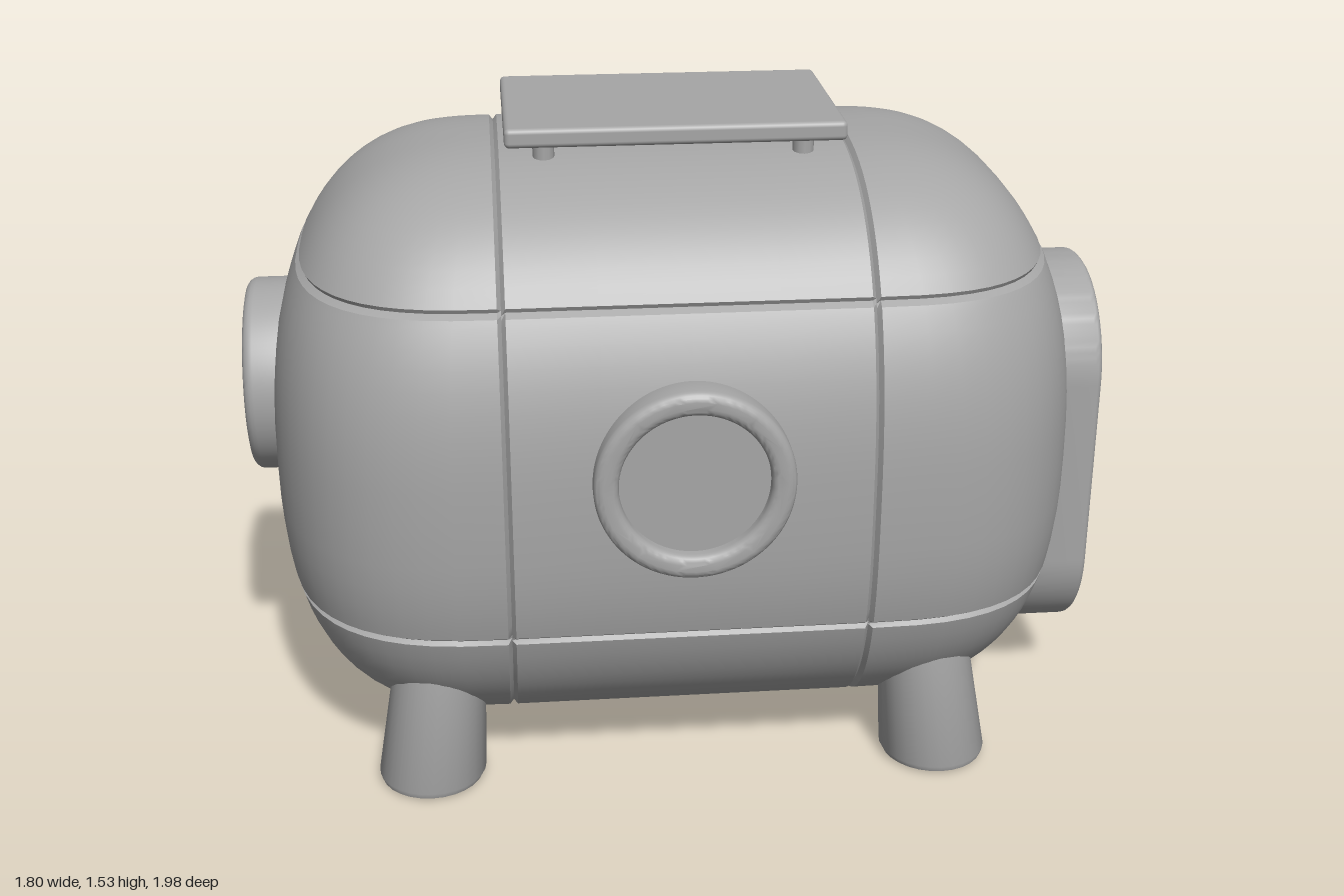
import * as THREE from 'three';
import { toCreasedNormals } from 'three/addons/utils/BufferGeometryUtils.js';
import { RoundedBoxGeometry } from 'three/addons/geometries/RoundedBoxGeometry.js';

const grey = new THREE.MeshStandardMaterial({ color: 0xa6a6a6 });
grey.name = 'plain grey';

// Hull dimensions: straight middle section plus domed ends
const HALF_W = 0.66, MID = 0.42, CAP = 0.54, CY = 0.73, UP = 0.73, DOWN = 0.67;
const spow = (v, p) => Math.sign(v) * Math.abs(v) ** p;

function add(parent, name, geometry, x = 0, y = 0, z = 0) {
  const mesh = new THREE.Mesh(geometry, grey);
  mesh.name = name;
  mesh.position.set(x, y, z);
  parent.add(mesh);
  return mesh;
}

// Hull skin: rounded outline swept from bottom to top, with pinched panel seams
function hullGeometry() {
  const outline = []; // [x, straight z, dome z, is seam]
  for (const side of [1, -1]) {
    for (let i = 0; i <= 28; i++) {
      const a = Math.PI * i / 28;
      outline.push([side * HALF_W * spow(Math.cos(a), 2 / 2.8), side * MID,
        side * CAP * Math.abs(Math.sin(a)) ** (2 / 2.8), false]);
    }
    for (const [z, seam] of [[0.411, true], [0.402, false], [0.2, false], [0, false],
      [-0.2, false], [-0.402, false], [-0.411, true]])
      outline.push([-side * HALF_W, side * z, 0, seam]);
  }
  const rows = []; // [height from -1 to 1, is seam]
  for (let i = 0; i <= 44; i++) rows.push([spow(Math.sin(Math.PI * (i / 44 - 0.5)), 2 / 2.6), false]);
  for (const y of [0.44, 1.21])
    for (const k of [-1, 0, 1]) {
      const dy = y + k * 0.01 - CY;
      rows.push([dy / (dy > 0 ? UP : DOWN), k === 0]);
    }
  rows.sort((a, b) => a[0] - b[0]);

  const pos = [], index = [], n = outline.length;
  rows.forEach(([d, rowSeam], i) => {
    const s = Math.max(0, 1 - Math.abs(d) ** 2.6) ** (1 / 2.6);
    outline.forEach(([x, z, dome, seam], j) => {
      const pinch = rowSeam || seam ? 0.98 : 1;
      pos.push(x * s * pinch, CY + d * (d > 0 ? UP : DOWN) * (seam ? 0.985 : 1), z + dome * s * pinch);
      if (i === rows.length - 1) return;
      const a = i * n + j, b = i * n + (j + 1) % n;
      index.push(a, a + n, b, b, a + n, b + n);
    });
  });
  const geo = new THREE.BufferGeometry();
  geo.setAttribute('position', new THREE.Float32BufferAttribute(pos, 3));
  geo.setIndex(index);
  return toCreasedNormals(geo, 0.5);
}

// Rounded rectangle outline, a circle when r is half the width
function roundRect(Type, w, h, r) {
  const p = new Type(), x = w / 2 - r, y = h / 2 - r;
  p.absarc(x, y, r, 0, Math.PI / 2);
  p.absarc(-x, y, r, Math.PI / 2, Math.PI);
  p.absarc(-x, -y, r, Math.PI, Math.PI * 1.5);
  p.absarc(x, -y, r, Math.PI * 1.5, Math.PI * 2);
  p.closePath();
  return p;
}

// Raised frame around a recessed pane; its front lies at z = 0
function opening(parent, name, o) {
  const g = new THREE.Group();
  g.name = name;
  const b = o.bevel, t = o.rim;
  const shape = roundRect(THREE.Shape, o.w, o.h, o.r);
  shape.holes.push(roundRect(THREE.Path, o.w - 2 * t, o.h - 2 * t, Math.max(0.02, o.r - t)));
  const frame = new THREE.ExtrudeGeometry(shape, {
    depth: o.depth, bevelThickness: b, bevelSize: b, bevelOffset: -b, bevelSegments: 4, curveSegments: 14,
  });
  frame.translate(0, 0, -o.depth - b);
  add(g, name + 'Frame', toCreasedNormals(frame, 0.7));
  const pane = new THREE.ShapeGeometry(
    roundRect(THREE.Shape, o.w - t, o.h - t, o.r - t / 2), 14);
  add(g, name + 'Pane', pane, 0, 0, -o.recess);
  g.position.set(...o.at);
  g.rotation.y = o.turn;
  parent.add(g);
}

export function createModel() {
  const model = new THREE.Group();
  model.name = 'habitatModule';
  const pod = new THREE.Group();
  pod.name = 'pod';
  pod.rotation.y = -32 * Math.PI / 180;
  model.add(pod);

  add(pod, 'hull', hullGeometry());

  // Portholes, square window and hatch
  opening(pod, 'frontPorthole', { w: 0.47, h: 0.47, r: 0.235, rim: 0.064, bevel: 0.025,
    depth: 0.12, recess: 0.055, at: [-0.01, 0.865, 1.02], turn: 0 });
  opening(pod, 'sidePorthole', { w: 0.45, h: 0.45, r: 0.225, rim: 0.056, bevel: 0.02,
    depth: 0.06, recess: 0.035, at: [0.7, 0.84, 0], turn: Math.PI / 2 });
  opening(pod, 'squareWindow', { w: 0.48, h: 0.48, r: 0.07, rim: 0.035, bevel: 0.012,
    depth: 0.07, recess: 0.02, at: [-0.69, 0.82, -0.03], turn: -Math.PI / 2 });
  opening(pod, 'hatch', { w: 0.52, h: 0.97, r: 0.25, rim: 0.096, bevel: 0.02,
    depth: 0.18, recess: 0.065, at: [0.025, 0.635, -1.03], turn: Math.PI });

  // Roof panel on short posts
  add(pod, 'roofPanel', new RoundedBoxGeometry(0.51, 0.045, 0.78, 3, 0.012), 0.005, 1.512, 0);
  for (const x of [-0.18, 0.18])
    for (const z of [-0.3, 0.3])
      add(pod, 'roofPost', new THREE.CylinderGeometry(0.025, 0.025, 0.08, 12), x, 1.46, z);

  // Splayed feet
  const profile = [[0, 0], [0.105, 0], [0.122, 0.006], [0.128, 0.02], [0.1, 0.42], [0, 0.42]]
    .map(([r, y]) => new THREE.Vector2(r, y));
  for (const sx of [1, -1])
    for (const sz of [1, -1]) {
      const foot = new THREE.LatheGeometry(profile, 28);
      const p = foot.attributes.position;
      for (let i = 0; i < p.count; i++) {
        const lean = p.getY(i) * 0.1;
        p.setX(i, p.getX(i) - sx * lean);
        p.setZ(i, p.getZ(i) - sz * lean);
      }
      add(pod, 'foot', toCreasedNormals(foot, 0.7), sx * 0.472, 0, sz * 0.613);
    }

  return model;
}
